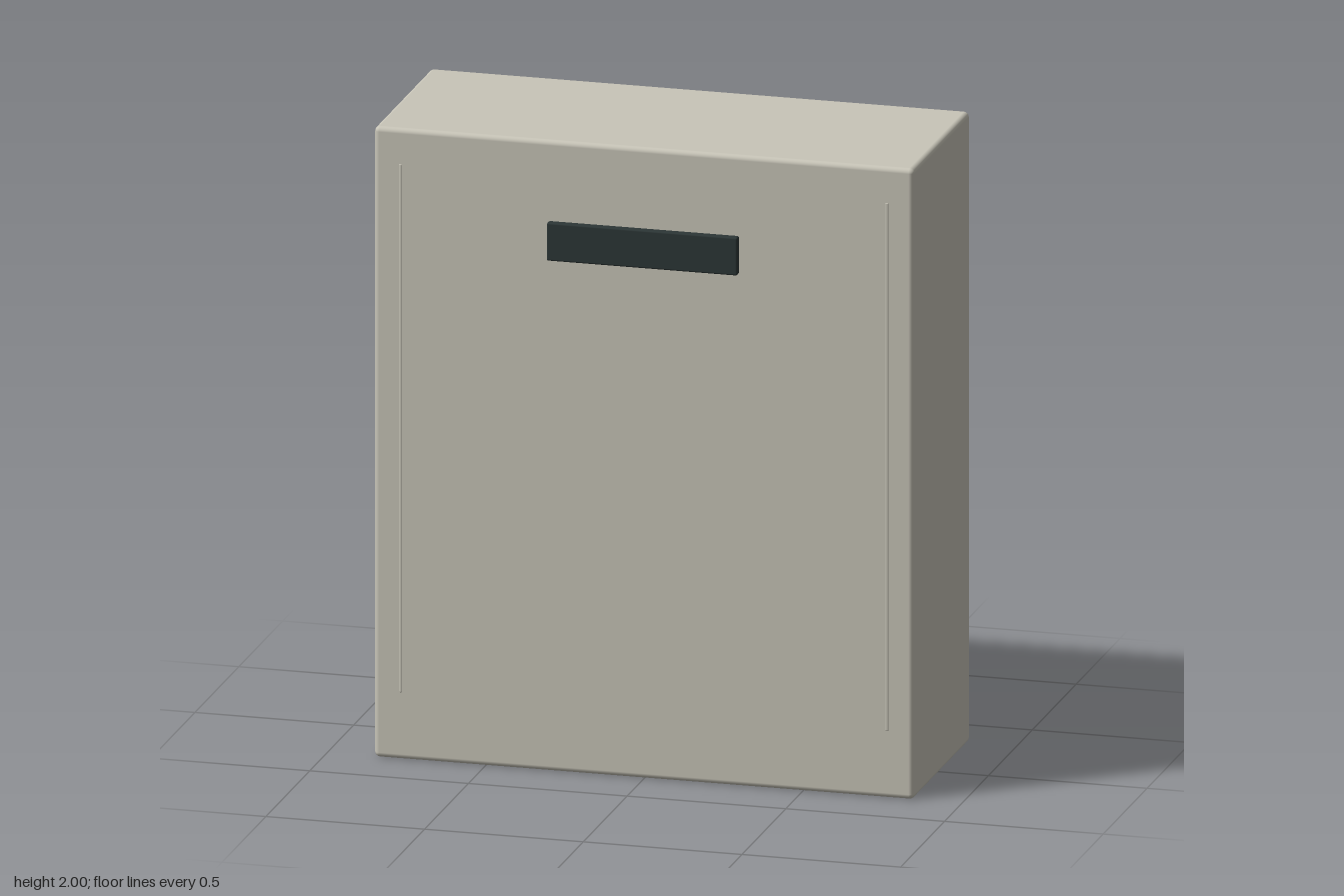
import * as THREE from 'three';
import { RoundedBoxGeometry } from 'three/addons/geometries/RoundedBoxGeometry.js';

export function createModel() {
  const group = new THREE.Group();
  const shell = new THREE.MeshStandardMaterial({ color: 0xc8c5b8 });
  shell.name = 'warm grey shell';
  const dark = new THREE.MeshStandardMaterial({ color: 0x2c3636 });
  dark.name = 'dark slate';

  const add = (name, geometry, material, x, y, z) => {
    const mesh = new THREE.Mesh(geometry, material);
    mesh.name = name;
    mesh.position.set(x, y, z);
    group.add(mesh);
  };

  // Softly rounded cabinet
  const front = 0.31, back = -0.333;
  add('cabinet', new RoundedBoxGeometry(1.7, 2, front - back, 3, 0.016), shell, 0, 1, (front + back) / 2);

  // Slim vertical trim ribs near the side edges, front and back
  const rib = new RoundedBoxGeometry(0.01, 1.675, 0.008, 2, 0.003);
  for (const side of [-1, 1]) {
    const label = side > 0 ? 'left' : 'right';
    add(label + 'FrontRib', rib, shell, side * 0.766, 1.05, front - 0.002);
    add(label + 'BackRib', rib, shell, side * 0.766, 1.05, back + 0.002);
  }

  // Display panel standing slightly proud of the front
  add('displayPanel', new RoundedBoxGeometry(0.6, 0.12, 0.05, 2, 0.005), dark, 0, 1.685, 0.308);

  return group;
}
